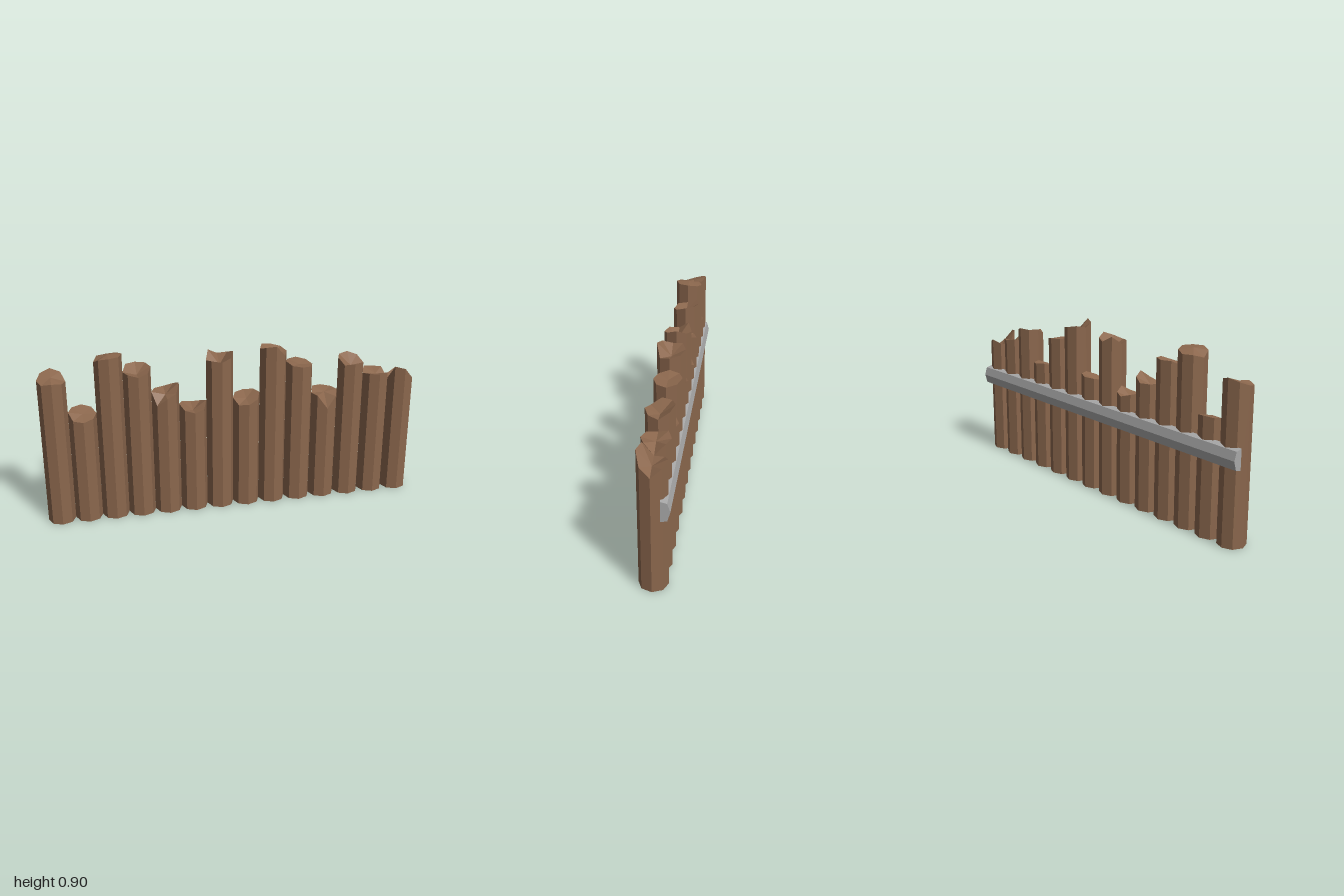
import * as THREE from 'three';

// Broken rim heights per post, turning from front to right, back and left; last value is the centre
const TOPS = [
  [.79, .78, .775, .81, .825, .81, .79, .78, .80],
  [.57, .58, .59, .605, .615, .61, .605, .575, .59],
  [.90, .90, .90, .89, .88, .88, .865, .89, .90],
  [.79, .80, .82, .825, .825, .825, .80, .80, .78],
  [.66, .68, .72, .70, .68, .68, .68, .62, .66],
  [.57, .58, .61, .59, .58, .595, .60, .58, .56],
  [.835, .85, .87, .85, .84, .87, .83, .84, .80],
  [.59, .61, .63, .63, .625, .62, .61, .585, .60],
  [.90, .84, .85, .86, .87, .88, .87, .89, .83],
  [.775, .77, .765, .775, .785, .785, .79, .78, .77],
  [.53, .59, .61, .61, .615, .62, .60, .60, .60],
  [.77, .76, .75, .78, .795, .79, .79, .76, .74],
  [.70, .70, .65, .70, .70, .71, .69, .70, .68],
  [.72, .66, .62, .66, .68, .66, .65, .73, .64],
];

function flat(geometry) {
  const g = geometry.index ? geometry.toNonIndexed() : geometry;
  g.computeVertexNormals();
  return g;
}

// Octagonal log with a splintered top
function postGeometry(heights) {
  const g = new THREE.CylinderGeometry(0.0714, 0.0714, 1, 8, 1);
  const p = g.attributes.position;
  for (let i = 0; i < p.count; i++) {
    const x = p.getX(i), z = p.getZ(i);
    const side = (Math.round(Math.atan2(x, z) / (Math.PI / 4)) + 8) % 8;
    const k = Math.hypot(x, z) < 0.01 ? 8 : side;
    p.setY(i, p.getY(i) > 0 ? heights[k] : 0);
  }
  return flat(g);
}

export function createModel() {
  const group = new THREE.Group();
  group.name = 'palisade';
  const wood = new THREE.MeshStandardMaterial({ color: 0x8b674d });
  wood.name = 'brown wood';
  const grey = new THREE.MeshStandardMaterial({ color: 0xa8a8a8 });
  grey.name = 'grey rail';

  // Row of posts
  const step = 2 / TOPS.length;
  TOPS.forEach((heights, i) => {
    const post = new THREE.Mesh(postGeometry(heights), wood);
    post.name = `post${i + 1}`;
    post.position.set(-1 + step * (i + 0.5), 0, 0.009);
    group.add(post);
  });

  // Bevelled rail along the back
  const profile = new THREE.Shape([
    [0.034, 0.398], [0.066, 0.405], [0.08, 0.453], [0.066, 0.497], [0.034, 0.505],
  ].map(([x, y]) => new THREE.Vector2(x, y)));
  const railGeometry = new THREE.ExtrudeGeometry(profile, { depth: 2, bevelEnabled: false });
  railGeometry.translate(0, 0, -1).rotateY(Math.PI / 2);
  const rail = new THREE.Mesh(flat(railGeometry), grey);
  rail.name = 'backRail';
  group.add(rail);

  return group;
}
